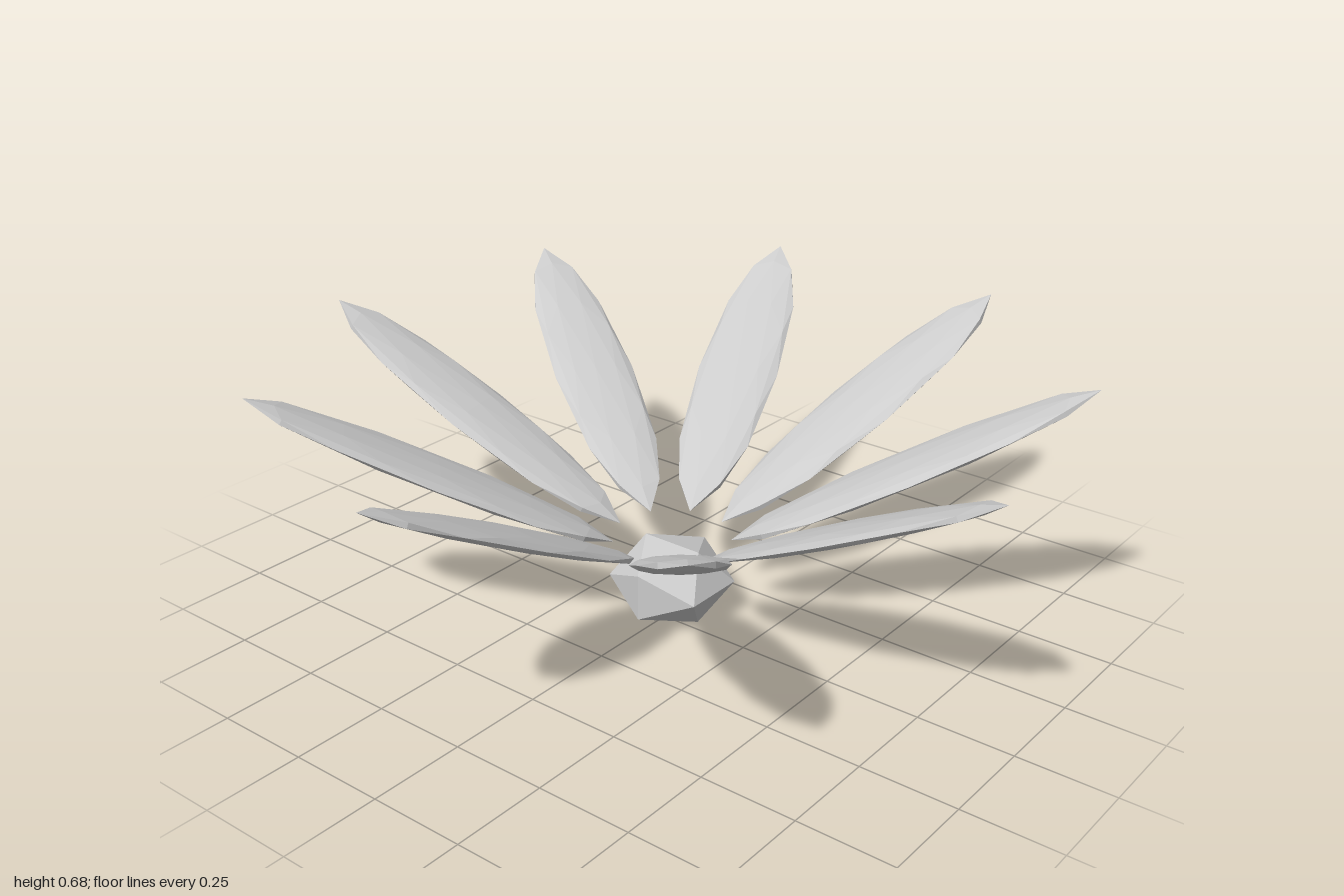
import * as THREE from 'three';

const PETALS = 9;

export function createModel() {
  const model = new THREE.Group();
  model.name = 'flower';
  const paleGrey = new THREE.MeshStandardMaterial({ color: 0xcccccc, flatShading: true });
  paleGrey.name = 'paleGrey';

  // Flattened faceted heart of the flower
  const heart = new THREE.Mesh(new THREE.IcosahedronGeometry(0.161, 0), paleGrey);
  heart.name = 'heart';
  heart.scale.y = 0.73;
  heart.position.set(0, 0.1, -0.03);
  model.add(heart);

  // Long, thin faceted petal: width in x, thickness in y, length in z
  const petalGeometry = new THREE.IcosahedronGeometry(1, 1);
  petalGeometry.scale(0.112, 0.022, 0.488);
  petalGeometry.rotateX(-Math.atan2(0.46, 0.86));
  petalGeometry.translate(0, 0.45, 0.58);

  // Ring of petals, the first pointing to the front
  const petals = new THREE.Group();
  petals.name = 'petals';
  petals.position.z = -0.03;
  for (let i = 0; i < PETALS; i++) {
    const petal = new THREE.Mesh(petalGeometry, paleGrey);
    petal.name = `petal${i + 1}`;
    petal.rotation.y = (i / PETALS) * Math.PI * 2;
    petals.add(petal);
  }
  model.add(petals);
  return model;
}
